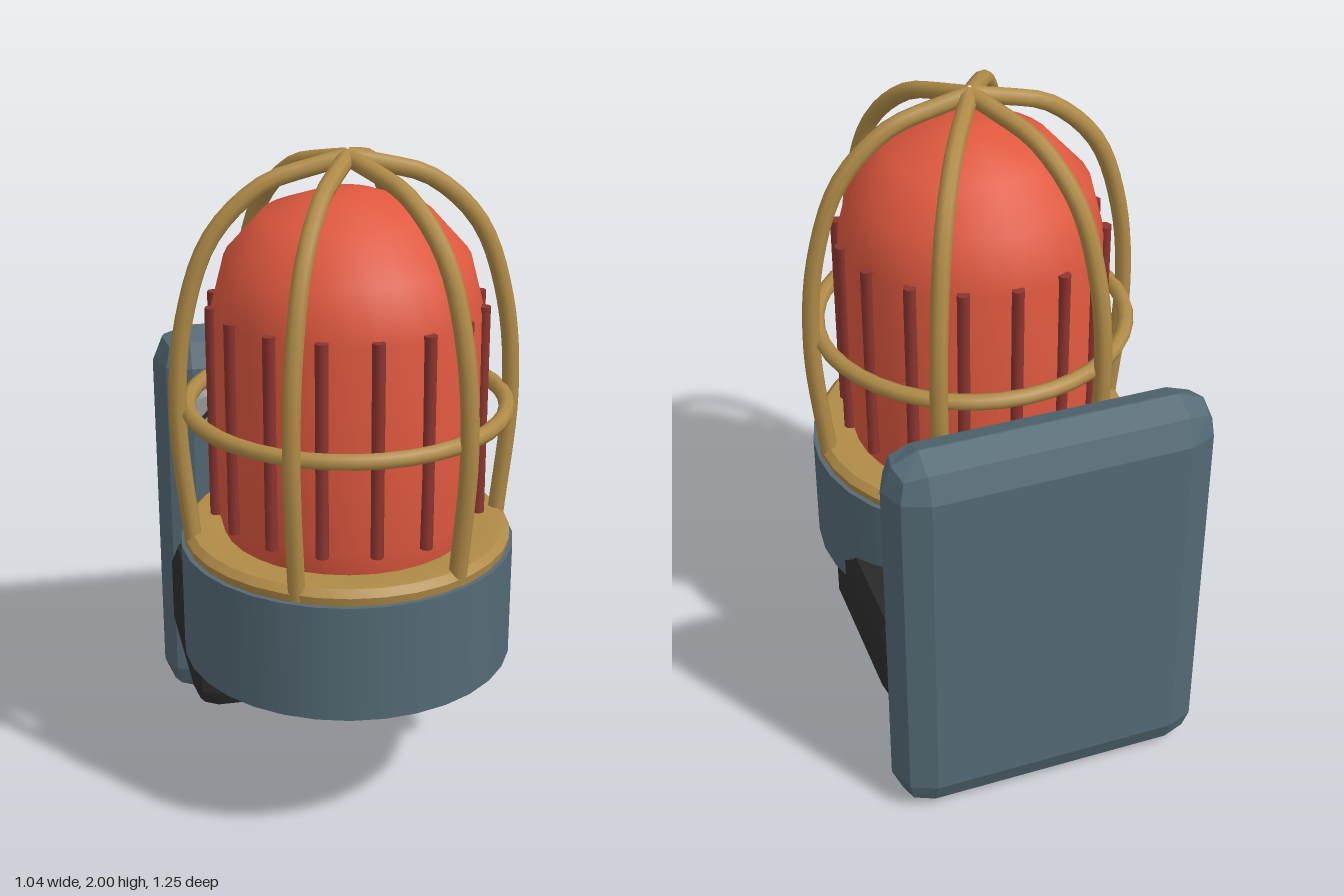
import * as THREE from 'three';
import { RoundedBoxGeometry } from 'three/addons/geometries/RoundedBoxGeometry.js';
import { toCreasedNormals } from 'three/addons/utils/BufferGeometryUtils.js';

const LAMP_Z = 0.13;

function makeMaterial(name, color) {
  const m = new THREE.MeshStandardMaterial({ color });
  m.name = name;
  return m;
}

function addMesh(parent, name, geometry, material, x = 0, y = 0, z = 0) {
  const mesh = new THREE.Mesh(geometry, material);
  mesh.name = name;
  mesh.position.set(x, y, z);
  parent.add(mesh);
  return mesh;
}

// Box with faceted, bevelled edges
function facetedBox(w, h, d, r) {
  const g = new RoundedBoxGeometry(w, h, d, 1, r);
  g.computeVertexNormals();
  return g;
}

function lathe(points, segments, crease) {
  const g = new THREE.LatheGeometry(points.map(([r, y]) => new THREE.Vector2(r, y)), segments);
  return crease ? toCreasedNormals(g, crease) : g;
}

export function createModel() {
  const model = new THREE.Group();
  model.name = 'wallLamp';

  const slate = makeMaterial('slate metal', 0x546a75);
  const black = makeMaterial('black plastic', 0x2d2d2d);
  const red = makeMaterial('red glass', 0xe0593f);
  const darkRed = makeMaterial('dark red ribs', 0x8c352f);
  const brass = makeMaterial('brass', 0xb08b47);
  const steel = makeMaterial('screw steel', 0x9b9f9c);

  // Wall plate and arm
  addMesh(model, 'wallPlate', facetedBox(0.98, 1.3, 0.225, 0.11), slate, 0, 0.65, -0.5175);
  addMesh(model, 'arm', facetedBox(0.94, 0.34, 0.6, 0.07), black, 0, 0.44, -0.15);

  // Screws with slots at differing turns
  const screws = [[-0.33, 0.2, 0], [0.33, 0.2, -Math.PI / 4], [-0.33, 1.06, Math.PI / 4], [0.33, 1.06, 0]];
  const screwProfile = [[0.065, 0], [0.065, 0.018], [0.05, 0.03], [0, 0.03]];
  for (const [x, y, turn] of screws) {
    const screw = new THREE.Group();
    screw.name = 'screw';
    screw.position.set(x, y, -0.405);
    screw.rotation.z = turn;
    addMesh(screw, 'screwHead', lathe(screwProfile, 16, 0.5), steel).rotation.x = Math.PI / 2;
    addMesh(screw, 'screwSlot', new THREE.BoxGeometry(0.085, 0.014, 0.008), black, 0, 0, 0.028);
    model.add(screw);
  }

  const lamp = new THREE.Group();
  lamp.name = 'lamp';
  lamp.position.z = LAMP_Z;
  model.add(lamp);

  // Round housing and brass collar
  addMesh(lamp, 'housing', new THREE.CylinderGeometry(0.495, 0.495, 0.355, 32), slate, 0, 0.6575, 0);
  addMesh(lamp, 'collar', lathe(
    [[0.48, 0.83], [0.485, 0.86], [0.465, 0.88], [0.44, 0.882], [0.33, 0.87]], 32, 0.6), brass);

  // Glass dome
  addMesh(lamp, 'dome', lathe([[0.36, 0.85], [0.385, 0.95], [0.39, 1.2], [0.387, 1.55],
    [0.348, 1.7], [0.24, 1.82], [0.085, 1.876], [0, 1.88]], 32), red);

  // Vertical ribs around the glass
  const ribGeometry = toCreasedNormals(new THREE.CylinderGeometry(0.019, 0.019, 0.63, 8), 0.9);
  for (let i = 0; i < 16; i++) {
    const a = (i / 16) * Math.PI * 2;
    addMesh(lamp, 'rib', ribGeometry, darkRed, Math.sin(a) * 0.39, 1.252, Math.cos(a) * 0.39);
  }

  // Guard cage: six curved bars and a hoop
  const barPath = new THREE.CatmullRomCurve3(
    [[0.46, 0.84], [0.494, 1.25], [0.467, 1.54], [0.385, 1.77], [0.24, 1.908], [0.1, 1.952], [0, 1.974]]
      .map(([x, y]) => new THREE.Vector3(x, y, 0)));
  const barGeometry = new THREE.TubeGeometry(barPath, 28, 0.026, 8, false);
  for (let i = 0; i < 6; i++) {
    addMesh(lamp, 'cageBar', barGeometry, brass).rotation.y = (i * Math.PI) / 3;
  }
  addMesh(lamp, 'cageHoop', new THREE.TorusGeometry(0.462, 0.024, 8, 40), brass, 0, 1.258, 0)
    .rotation.x = Math.PI / 2;

  return model;
}
